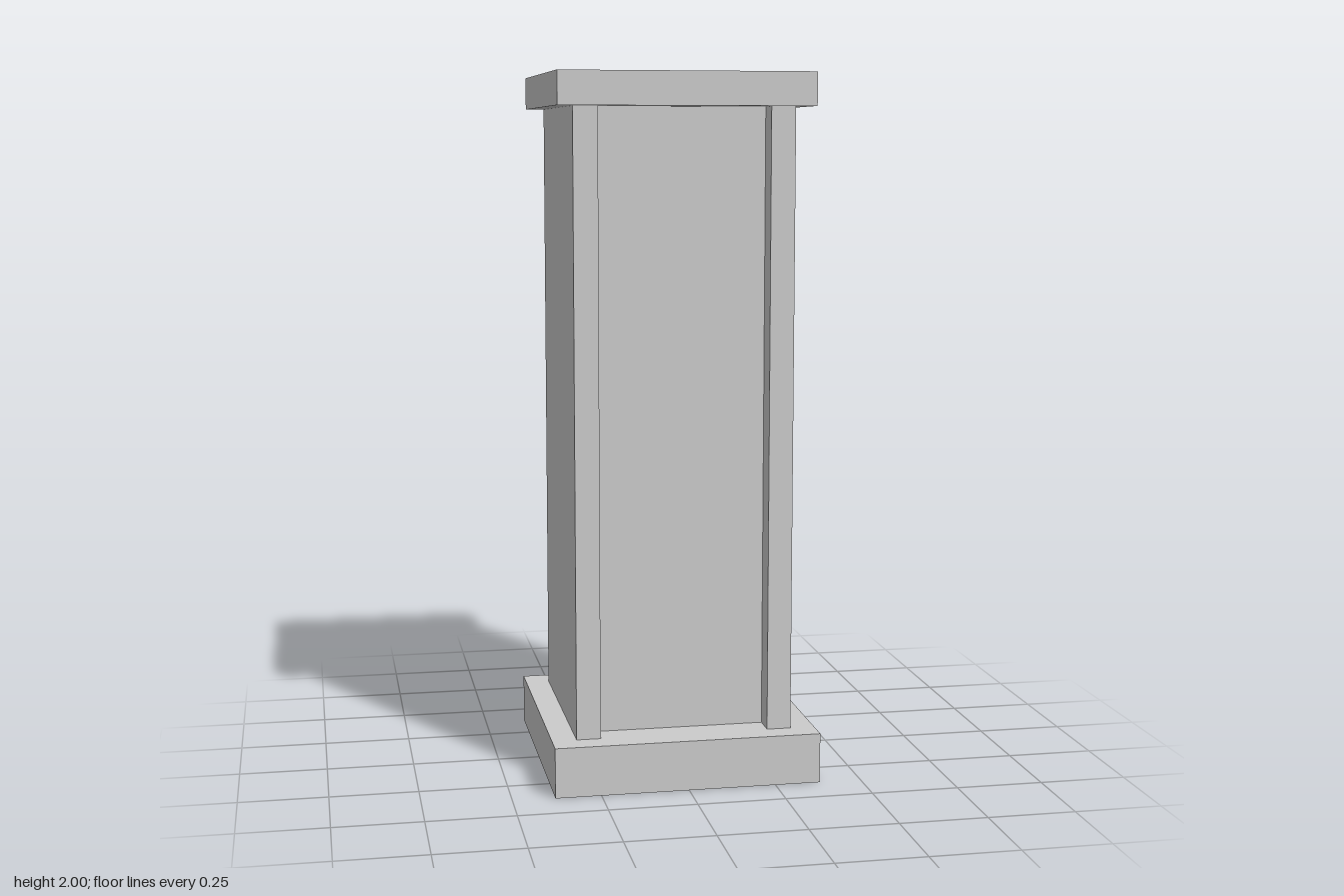
import * as THREE from 'three';

const BASE_TOP = 0.143, CAP_BOTTOM = 1.907, HEIGHT = 2;
const HALF = 0.31, INNER = 0.241; // shaft half width, recessed half width

export function createModel() {
  const group = new THREE.Group();
  const material = new THREE.MeshStandardMaterial({ color: 0xcccccc, flatShading: true });

  // Box standing between two heights
  const addBox = (name, width, depth, bottom, top, x = 0) => {
    const mesh = new THREE.Mesh(new THREE.BoxGeometry(width, top - bottom, depth), material);
    mesh.name = name;
    mesh.position.set(x, (bottom + top) / 2, 0);
    group.add(mesh);
  };

  // Plinth and top slab
  addBox('base', 0.76, 0.76, 0, BASE_TOP);
  addBox('cap', 0.716, 0.716, CAP_BOTTOM, HEIGHT);

  // Shaft core, recessed at the front and back
  addBox('core', 2 * INNER, 2 * INNER, BASE_TOP, CAP_BOTTOM);

  // Full-depth side slabs framing the recesses
  for (const side of [-1, 1]) {
    addBox(side > 0 ? 'leftSlab' : 'rightSlab', HALF - INNER, 2 * HALF,
      BASE_TOP, CAP_BOTTOM, side * (HALF + INNER) / 2);
  }
  return group;
}
